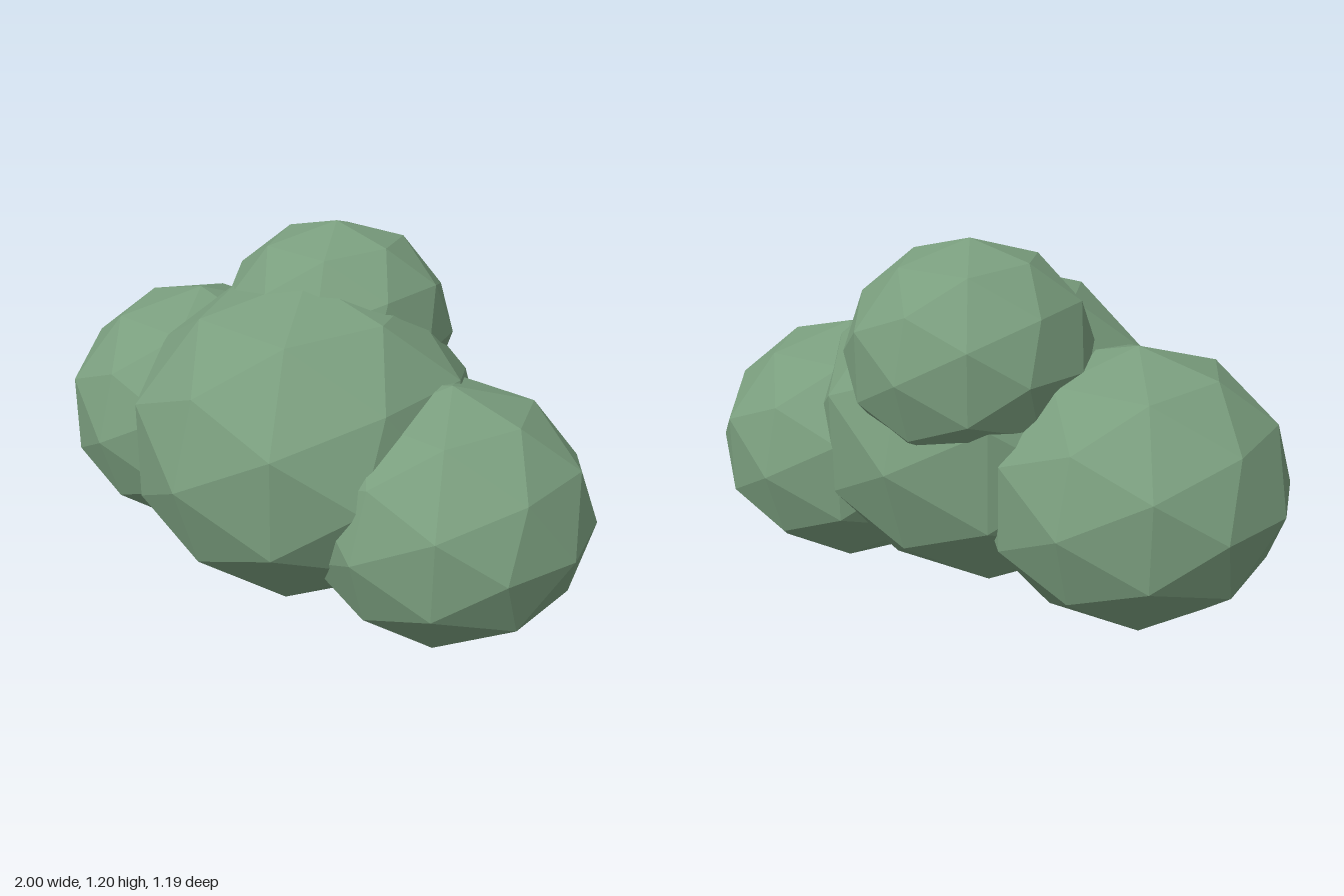
import * as THREE from 'three';

export function createModel() {
  const group = new THREE.Group();
  group.name = 'bush';

  const foliage = new THREE.MeshStandardMaterial({ color: 0x7a9e7e, flatShading: true });
  foliage.name = 'sage green';

  // Every clump is a slightly flattened, faceted ball
  const FLATTEN = 0.9;
  const ball = new THREE.IcosahedronGeometry(1, 1);

  // name, radius, centre
  const clumps = [
    ['mainClump', 0.58, [0.04, 0.55, 0.015]],
    ['rightClump', 0.484, [-0.517, 0.469, -0.045]],
    ['leftClump', 0.46, [0.54, 0.416, -0.08]],
    ['topClump', 0.39, [-0.03, 0.848, -0.202]],
  ];

  for (const [name, radius, centre] of clumps) {
    const mesh = new THREE.Mesh(ball, foliage);
    mesh.name = name;
    mesh.scale.set(radius, radius * FLATTEN, radius);
    mesh.position.set(...centre);
    group.add(mesh);
  }

  return group;
}
